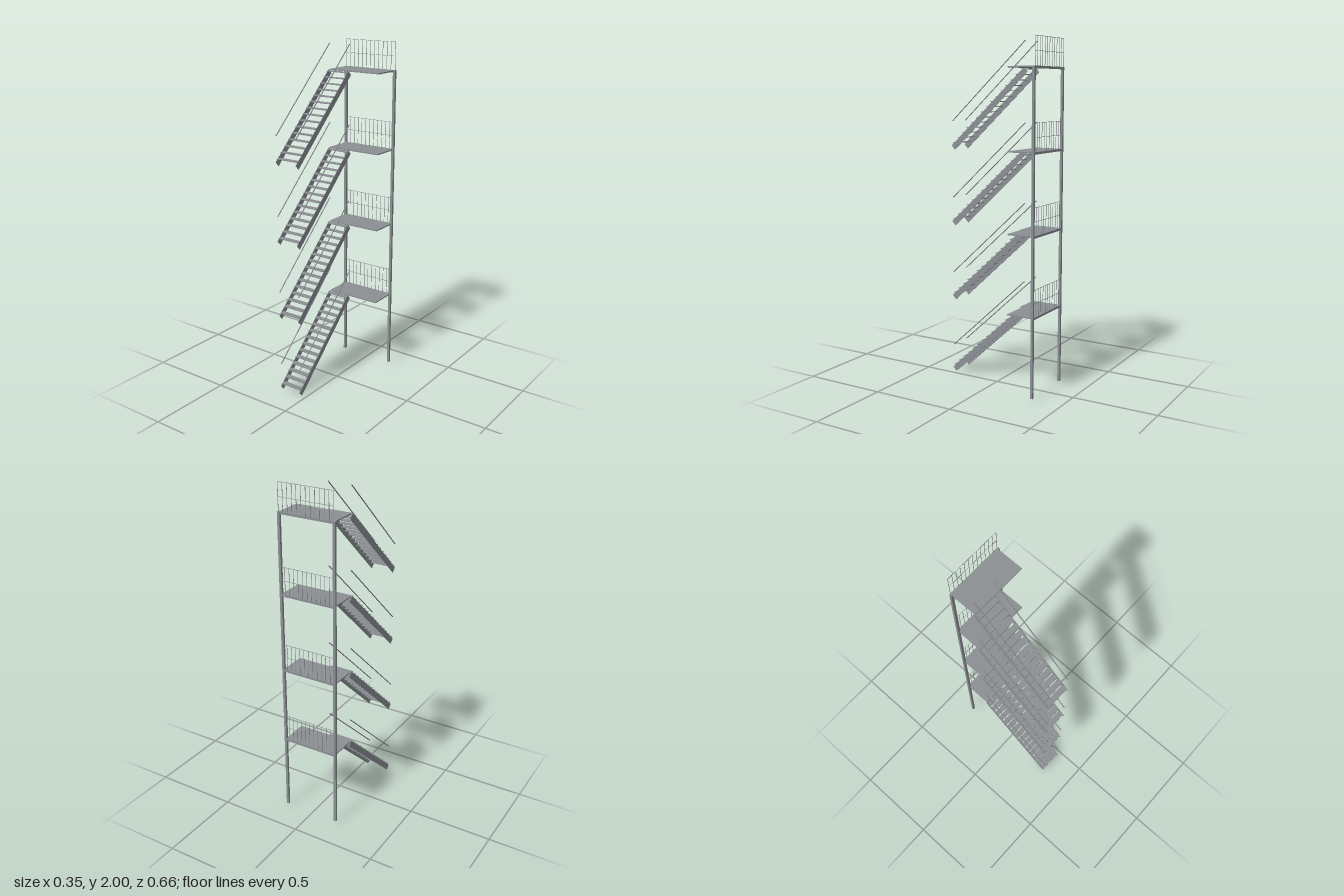
import * as THREE from 'three';

export function createModel() {
  const model = new THREE.Group();
  model.name = 'stairTower';
  const steel = new THREE.MeshStandardMaterial({ color: 0x8b8f93 });
  steel.name = 'steelGrey';

  const add = (parent, name, geometry, x, y, z, tilt = 0) => {
    const mesh = new THREE.Mesh(geometry, steel);
    mesh.name = name;
    mesh.position.set(x, y, z);
    mesh.rotation.x = tilt;
    parent.add(mesh);
    return mesh;
  };
  const box = (w, h, d) => new THREE.BoxGeometry(w, h, d);

  const floors = 4, rise = 0.455, run = 0.492;
  const steps = 15, bars = 12;
  const tilt = Math.atan2(rise, run) - Math.PI / 2;
  const deck = 0.478; // landing height above the foot of its flight
  const railZ = -0.332, railHeight = 0.156;

  // Shared geometries
  const stringer = box(0.003, 0.663, 0.034);
  const handrail = new THREE.CylinderGeometry(0.003, 0.003, 0.666, 8);
  const tread = box(0.136, 0.004, run / steps);
  const baluster = box(0.002, railHeight, 0.002);
  const rail = box(0.334, 0.002, 0.002);

  // Two tall posts behind the landings
  for (const side of [-1, 1]) {
    add(model, 'post', box(0.015, 1.827, 0.014), side * 0.167, 0.9295, -0.326);
  }

  for (let f = 0; f < floors; f++) {
    const storey = new THREE.Group();
    storey.name = 'storey';
    storey.position.y = f * rise;
    model.add(storey);

    // Landing and the beam under its back edge
    add(storey, 'landing', box(0.334, 0.007, 0.167), -0.001, deck - 0.0035, -0.2495);
    add(storey, 'landingBeam', box(0.32, 0.006, 0.012), 0, deck - 0.01, -0.326);

    // Back railing
    for (let i = 0; i <= bars; i++) {
      add(storey, 'baluster', baluster, -0.167 + i * 0.333 / bars, deck + railHeight / 2, railZ);
    }
    add(storey, 'topRail', rail, -0.001, deck + railHeight, railZ);
    add(storey, 'midRail', rail, -0.001, deck + railHeight / 2, railZ);

    // Stringers and floating handrails on both sides of the flight
    for (const x of [-0.169, -0.031]) {
      add(storey, 'stringer', stringer, x, 0.239, 0.077, tilt);
      add(storey, 'handrail', handrail, x, 0.398, 0.08, tilt);
    }

    // Open treads
    for (let i = 0; i < steps; i++) {
      add(storey, 'tread', tread, -0.1, 0.043 + i * rise / steps, 0.325 - (i + 0.5) * run / steps);
    }
  }
  return model;
}
